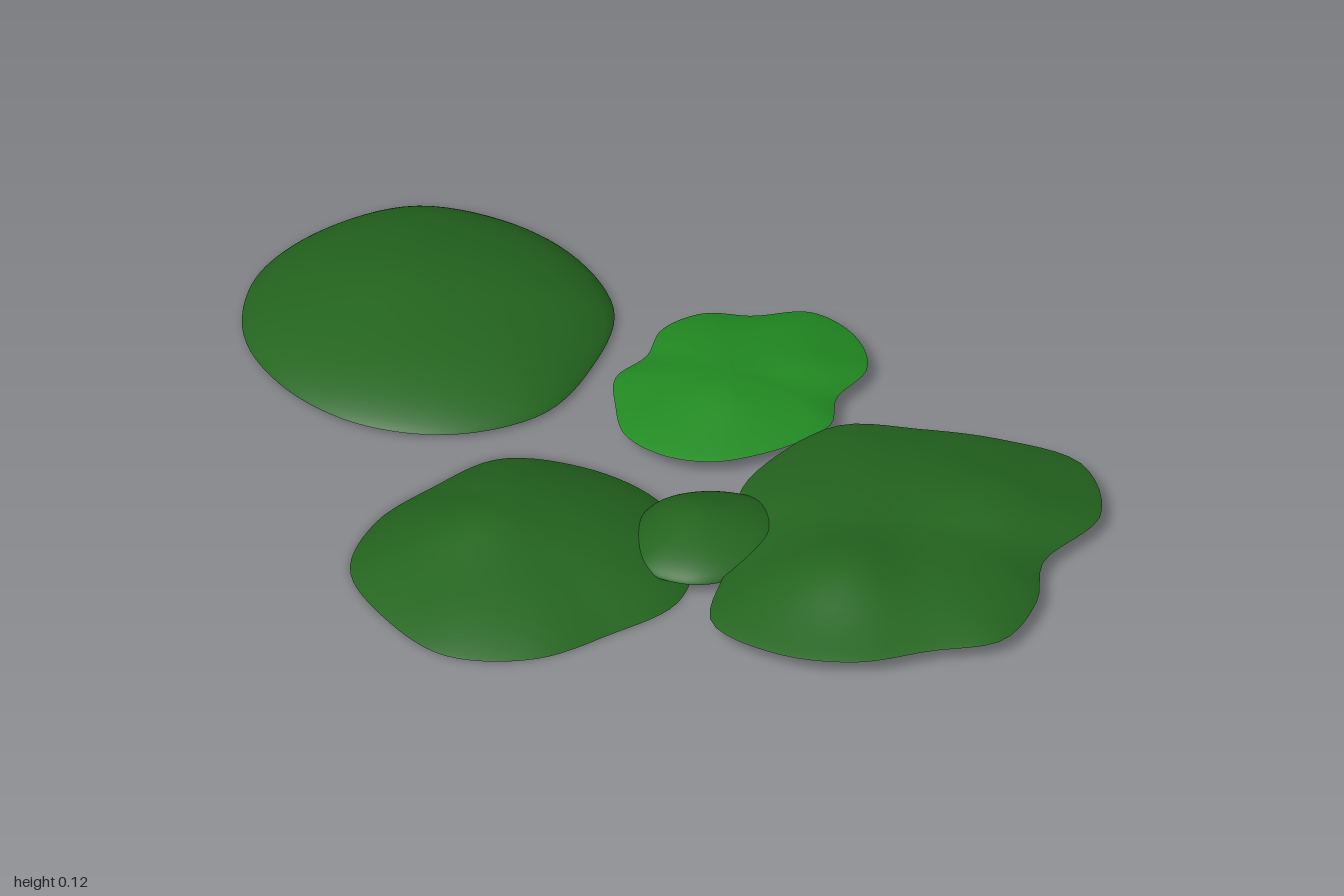
import * as THREE from 'three';

const SEGMENTS = 80, RINGS = 16;
const DARK = 0x24651f, LIGHT = 0x228b22;

// Smooth closed outline through radii at equal angles, clockwise from the back
function rimPoints(cx, cz, radii) {
  const knots = radii.map((r, k) => {
    const a = (k / radii.length) * Math.PI * 2;
    return new THREE.Vector3(cx + r * Math.sin(a), 0, cz - r * Math.cos(a));
  });
  return new THREE.CatmullRomCurve3(knots, true).getSpacedPoints(SEGMENTS).slice(0, SEGMENTS);
}

// Low dome: the outline shrinks in rings to the centre, rising as it goes
function domeGeometry({ centre: [cx, cz], base, height, power, bumps, radii }) {
  const rim = rimPoints(cx, cz, radii);
  const positions = [], indices = [];
  const addPoint = (p, t) => {
    const x = cx + (p.x - cx) * t, z = cz + (p.z - cz) * t;
    let y = base + height * Math.pow(1 - Math.pow(t, 2.2), power);
    for (const { at: [bx, bz], rise, spread } of bumps) {
      y += rise * (1 - t * t) * Math.exp(-((x - bx) ** 2 + (z - bz) ** 2) / (spread * spread));
    }
    positions.push(x, y, z);
  };
  addPoint(rim[0], 0);
  for (let r = 1; r <= RINGS; r++) {
    const t = Math.sin((r / RINGS) * Math.PI / 2); // rings crowd towards the steep rim
    rim.forEach((p) => addPoint(p, t));
  }
  const vertex = (r, i) => 1 + (r - 1) * SEGMENTS + (i % SEGMENTS);
  for (let i = 0; i < SEGMENTS; i++) {
    indices.push(0, vertex(1, i + 1), vertex(1, i));
    for (let r = 1; r < RINGS; r++) {
      indices.push(vertex(r, i), vertex(r + 1, i + 1), vertex(r + 1, i));
      indices.push(vertex(r, i), vertex(r, i + 1), vertex(r + 1, i + 1));
    }
  }
  // Flat underside with its own vertices, so the rim stays sharp
  const under = positions.length / 3;
  positions.push(cx, base, cz);
  rim.forEach((p) => positions.push(p.x, base, p.z));
  for (let i = 0; i < SEGMENTS; i++) {
    indices.push(under, under + 1 + i, under + 1 + ((i + 1) % SEGMENTS));
  }
  const geometry = new THREE.BufferGeometry();
  geometry.setAttribute('position', new THREE.Float32BufferAttribute(positions, 3));
  geometry.setIndex(indices);
  geometry.computeVertexNormals();
  return geometry;
}

export function createModel() {
  const group = new THREE.Group();
  group.name = 'bushes';
  const addBush = (name, color, shape) => {
    const mesh = new THREE.Mesh(domeGeometry(shape), new THREE.MeshStandardMaterial({ color }));
    mesh.name = name;
    group.add(mesh);
  };

  // Large round bush
  addBush('roundBush', DARK, {
    centre: [-0.6, 0.05], base: 0.01, height: 0.088, power: 0.78,
    bumps: [{ at: [-0.7, 0.08], rise: 0.012, spread: 0.14 }],
    radii: [0.37, 0.375, 0.36, 0.385, 0.385, 0.38, 0.38, 0.395, 0.4, 0.395, 0.405, 0.38],
  });

  // Front bush, peaked off-centre
  addBush('frontBush', DARK, {
    centre: [0.15, 0.38], base: 0, height: 0.08, power: 0.95,
    bumps: [{ at: [0.09, 0.43], rise: 0.027, spread: 0.12 }, { at: [0.02, 0.25], rise: 0.012, spread: 0.1 }],
    radii: [0.355, 0.365, 0.362, 0.32, 0.343, 0.362, 0.34, 0.348, 0.32, 0.305, 0.35, 0.347],
  });

  // Largest bush, lobed, with two crowns
  addBush('lobedBush', DARK, {
    centre: [0.6, -0.24], base: 0.035, height: 0.058, power: 0.9,
    bumps: [{ at: [0.7, -0.05], rise: 0.045, spread: 0.13 }, { at: [0.65, -0.5], rise: 0.025, spread: 0.15 }],
    radii: [0.49, 0.45, 0.325, 0.36, 0.4, 0.37, 0.403, 0.435, 0.45, 0.345, 0.31, 0.36, 0.39, 0.43, 0.41, 0.435],
  });

  // Thin bright bush at the back
  addBush('backBush', LIGHT, {
    centre: [-0.03, -0.3], base: 0.035, height: 0.035, power: 0.9,
    bumps: [{ at: [0.02, -0.24], rise: 0.014, spread: 0.1 }, { at: [0.03, -0.46], rise: 0.01, spread: 0.08 }],
    radii: [0.31, 0.285, 0.217, 0.238, 0.23, 0.235, 0.257, 0.273, 0.275, 0.25, 0.245, 0.21, 0.25, 0.265, 0.252, 0.307],
  });

  // Small bush tucked between the front and lobed ones
  addBush('smallBush', DARK, {
    centre: [0.35, 0.05], base: 0.027, height: 0.052, power: 0.7,
    bumps: [{ at: [0.31, 0.05], rise: 0.012, spread: 0.08 }],
    radii: [0.19, 0.185, 0.15, 0.155, 0.165, 0.15, 0.16, 0.165],
  });

  return group;
}
